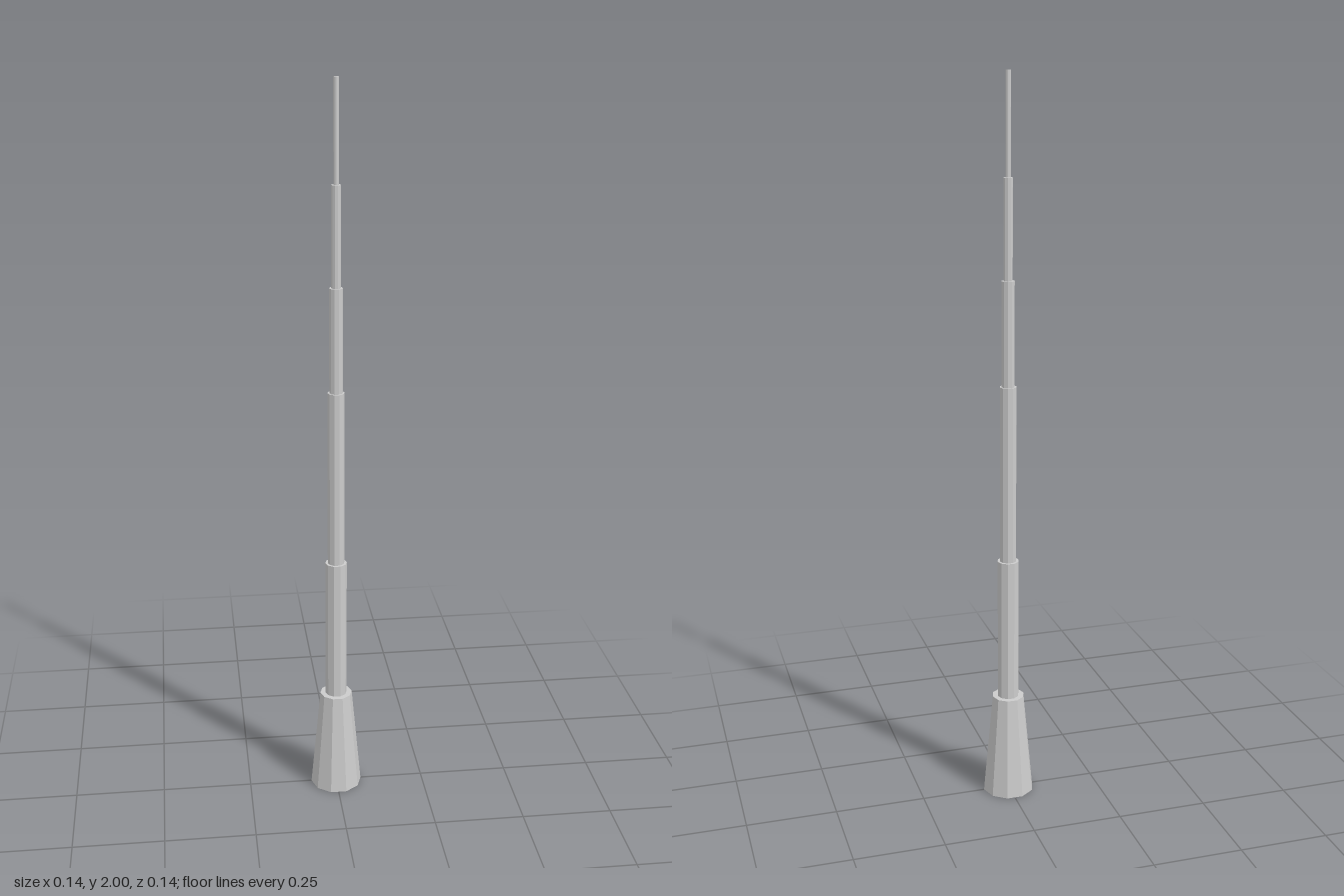
import * as THREE from 'three';

const SIDES = 10;

export function createModel() {
  const group = new THREE.Group();
  group.name = 'mast';
  const material = new THREE.MeshStandardMaterial({
    color: 0xcccccc, flatShading: true, side: THREE.DoubleSide,
  });

  // Hollow stages: name, bottom y, top y, bottom radius, top radius
  const stages = [
    ['taperedBase', 0, 0.29, 0.072, 0.045],
    ['lowerSection', 0.29, 0.695, 0.03, 0.03],
    ['middleSection', 0.695, 1.187, 0.023, 0.023],
    ['upperSection', 1.187, 1.47, 0.018, 0.018],
    ['thinSection', 1.47, 1.735, 0.0125, 0.0125],
    ['tip', 1.735, 2, 0.007, 0.007],
  ];

  stages.forEach(([name, y0, y1, r0, r1], i) => {
    // Wall, then a flat ledge in to the next stage (closed at the tip)
    const inner = i + 1 < stages.length ? stages[i + 1][3] : 0;
    const profile = [[r0, y0], [r1, y1], [inner, y1]].map(([x, y]) => new THREE.Vector2(x, y));
    const mesh = new THREE.Mesh(new THREE.LatheGeometry(profile, SIDES, Math.PI / 2), material);
    mesh.name = name;
    group.add(mesh);
  });

  return group;
}
